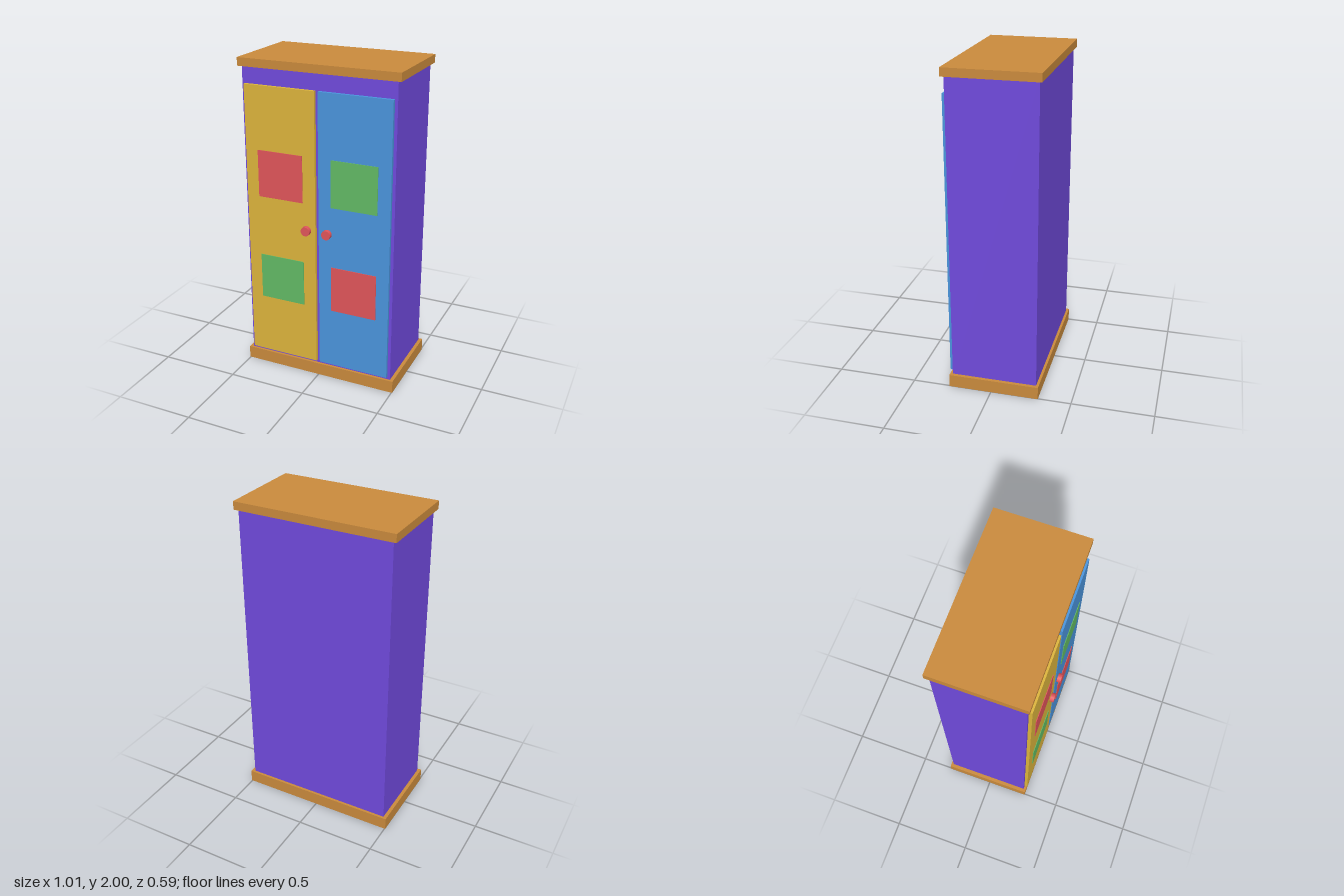
import * as THREE from 'three';

const paint = (color) => new THREE.MeshStandardMaterial({ color });
const wood = paint(0xc98a3c), purple = paint(0x704adc), yellow = paint(0xdcb43c);
const blue = paint(0x4a94dc), red = paint(0xe0555a), green = paint(0x62ba64);

// Box given by its minimum and maximum corners
function box(name, material, [x0, y0, z0], [x1, y1, z1]) {
  const mesh = new THREE.Mesh(new THREE.BoxGeometry(x1 - x0, y1 - y0, z1 - z0), material);
  mesh.position.set((x0 + x1) / 2, (y0 + y1) / 2, (z0 + z1) / 2);
  mesh.name = name;
  return mesh;
}

// One door with two square panels and a knob; side is +1 for left, -1 for right
function door(name, side, doorMat, upperMat, lowerMat) {
  const group = new THREE.Group();
  group.name = name;
  const span = (a, b) => (side > 0 ? [a, b] : [-b, -a]);
  const [d0, d1] = span(0.011, 0.465);
  group.add(box('doorLeaf', doorMat, [d0, 0.1, 0.24], [d1, 1.85, 0.27]));
  const [p0, p1] = span(0.092, 0.385);
  group.add(box('upperPanel', upperMat, [p0, 1.167, 0.26], [p1, 1.46, 0.274]));
  group.add(box('lowerPanel', lowerMat, [p0, 0.488, 0.26], [p1, 0.781, 0.274]));

  const knob = new THREE.Mesh(new THREE.CylinderGeometry(0.029, 0.029, 0.035, 16), red);
  knob.rotation.x = Math.PI / 2;
  knob.position.set(side * 0.068, 0.995, 0.2785);
  knob.name = 'knob';
  group.add(knob);
  return group;
}

export function createModel() {
  const model = new THREE.Group();
  model.name = 'wardrobe';

  // Cabinet between overhanging base and top boards
  model.add(box('cabinet', purple, [-0.483, 0.04, -0.28], [0.483, 1.97, 0.25]));
  model.add(box('baseBoard', wood, [-0.505, 0, -0.296], [0.505, 0.08, 0.266]));
  model.add(box('topBoard', wood, [-0.505, 1.95, -0.296], [0.505, 2, 0.266]));

  // Doors with swapped panel colors
  model.add(door('rightDoor', -1, yellow, red, green));
  model.add(door('leftDoor', 1, blue, green, red));
  return model;
}
